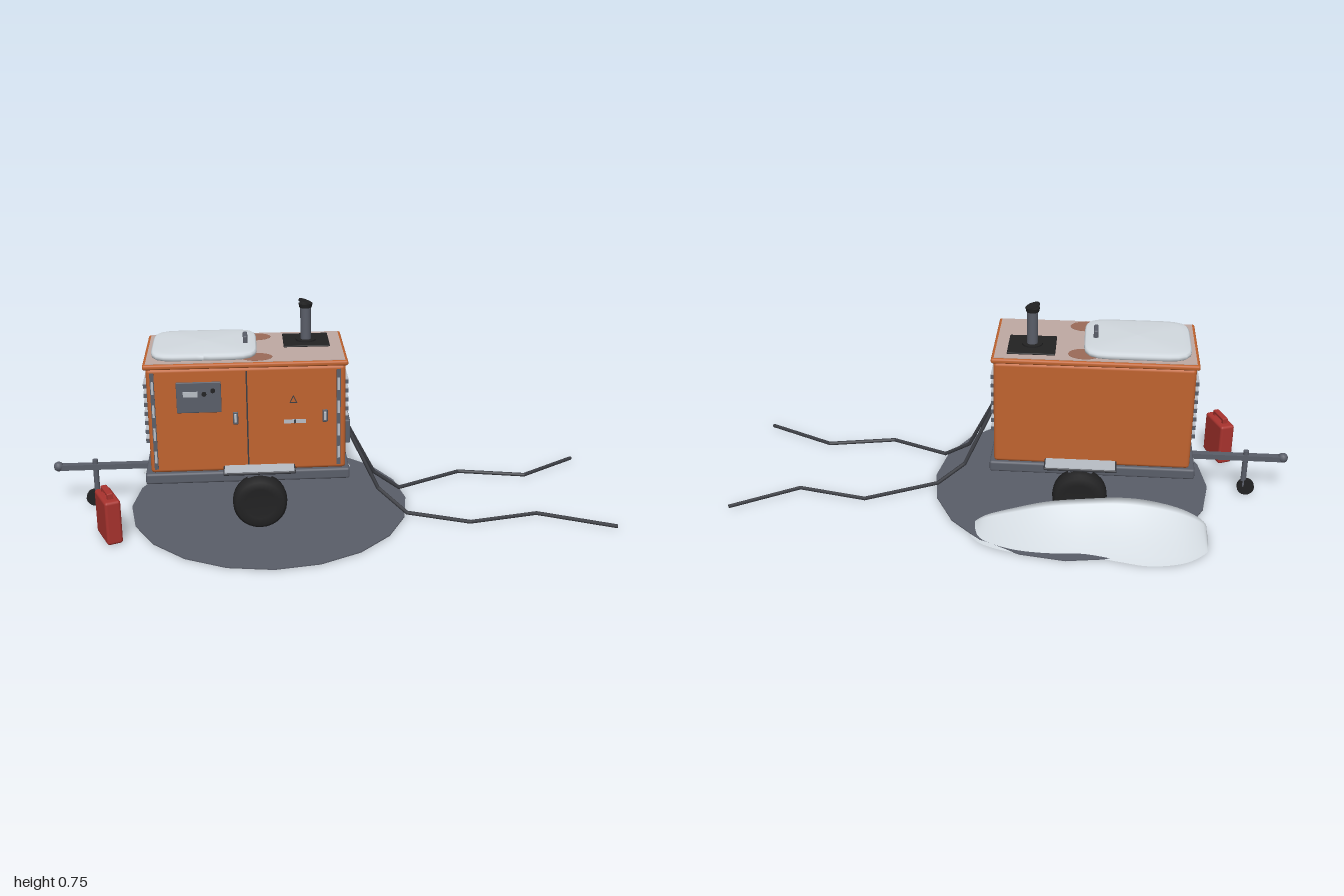
import * as THREE from 'three';
import { RoundedBoxGeometry } from 'three/addons/geometries/RoundedBoxGeometry.js';

const mat = (name, color, side = THREE.FrontSide) => {
  const m = new THREE.MeshStandardMaterial({ color, side });
  m.name = name;
  return m;
};

export function createModel() {
  const root = new THREE.Group();
  root.name = 'trailerGenerator';
  const M = {
    orange: mat('orangePaint', 0xc0632f),
    steel: mat('greySteel', 0x5a5e69),
    dark: mat('darkCable', 0x3b3d43),
    black: mat('blackRubber', 0x222223),
    red: mat('redPaint', 0xa9332e),
    snow: mat('snow', 0xd3dae0, THREE.DoubleSide),
    frost: mat('frost', 0xb9bec6),
    film: mat('frostedRoof', 0xbfa9a3),
    thaw: mat('thawedRoof', 0x9c6b58),
  };
  const add = (name, geo, m, x = 0, y = 0, z = 0, parent = root) => {
    const mesh = new THREE.Mesh(geo, m);
    mesh.name = name;
    mesh.position.set(x, y, z);
    parent.add(mesh);
    return mesh;
  };
  // Boxes given by their limits on each axis
  const box = (name, m, [x0, x1], [y0, y1], [z0, z1], r = 0, parent = root) => {
    const s = [x1 - x0, y1 - y0, z1 - z0];
    const geo = r ? new RoundedBoxGeometry(...s, 2, r) : new THREE.BoxGeometry(...s);
    return add(name, geo, m, (x0 + x1) / 2, (y0 + y1) / 2, (z0 + z1) / 2, parent);
  };
  const rod = (name, m, a, b, r, sides = 8) => {
    const d = b.clone().sub(a);
    const mesh = add(name, new THREE.CylinderGeometry(r, r, d.length(), sides), m);
    mesh.position.copy(a).addScaledVector(d, 0.5);
    mesh.quaternion.setFromUnitVectors(new THREE.Vector3(0, 1, 0), d.normalize());
  };
  const V = (x, y, z) => new THREE.Vector3(x, y, z);
  const ZC = -0.031; // centre line of the trailer

  // Ground patch
  add('groundDisc', new THREE.CylinderGeometry(0.505, 0.505, 0.004, 20), M.steel, -0.22, 0.002, 0);

  // Snow drift: each cross-section rises at the front and falls away to the back
  const ridge = new THREE.CatmullRomCurve3([
    V(-0.705, 0, -0.39), V(-0.695, 0.04, -0.42), V(-0.62, 0.09, -0.485), V(-0.5, 0.122, -0.512),
    V(-0.4, 0.129, -0.495), V(-0.28, 0.118, -0.47), V(-0.15, 0.1, -0.478), V(-0.03, 0.066, -0.468),
    V(0.07, 0.03, -0.43), V(0.11, 0, -0.39)]);
  const drift = new THREE.PlaneGeometry(1, 1, 40, 14);
  const dp = drift.attributes.position;
  for (let i = 0; i < dp.count; i++) {
    const c = ridge.getPoint(THREE.MathUtils.clamp(dp.getX(i) + 0.5, 0, 1));
    const v = THREE.MathUtils.clamp(dp.getY(i) + 0.5, 0, 1); // 0 at the front foot
    const w = Math.max(0, (v - 0.14) / 0.86);
    const rise = Math.min(1, v / 0.14);
    const h = c.y * Math.sin(rise * Math.PI / 2) * (0.75 * (1 - w) + 0.25 * (1 - w) ** 3);
    dp.setXYZ(i, c.x, Math.max(h, 0.001), THREE.MathUtils.lerp(-0.291 - 0.006 * rise, c.z, w));
  }
  drift.computeVertexNormals();
  add('snowDrift', drift, M.snow);

  // Chassis and housing
  box('chassis', M.steel, [-0.655, 0.062], [0.155, 0.195], [-0.205, 0.145], 0.008);
  box('housing', M.orange, [-0.635, 0.047], [0.195, 0.578], [-0.2, 0.137], 0.012);
  box('roofLid', M.orange, [-0.645, 0.055], [0.577, 0.595], [-0.206, 0.143], 0.007);
  box('roofFrost', M.film, [-0.635, 0.045], [0.592, 0.597], [-0.196, 0.133]);
  for (const s of [1, -1]) {
    const patch = add('thawedPatch', new THREE.CylinderGeometry(0.055, 0.055, 0.002, 16), M.thaw, -0.258, 0.597, ZC + s * 0.115);
    patch.scale.z = 0.75;
  }

  // Snow cap: a lathe squared off into a rounded rectangle
  const cap = new THREE.LatheGeometry([[0.97, 0], [1, 0.006], [1, 0.015], [0.97, 0.02], [0.85, 0.0225],
    [0.5, 0.026], [0, 0.028]].map(p => new THREE.Vector2(...p)), 48);
  const cp = cap.attributes.position;
  for (let i = 0; i < cp.count; i++) {
    const x = cp.getX(i), z = cp.getZ(i), a = Math.atan2(z, x);
    const k = (Math.cos(a) ** 6 + Math.sin(a) ** 6) ** (-1 / 6);
    cp.setX(i, x * k * 0.182);
    cp.setZ(i, z * k * 0.149);
  }
  cap.computeVertexNormals();
  add('roofSnow', cap, M.snow, -0.438, 0.597, -0.035);
  box('liftingEye', M.steel, [-0.303, -0.287], [0.615, 0.646], [-0.06, -0.002], 0.005);

  // Exhaust
  box('exhaustPlate', M.black, [-0.16, 0.004], [0.595, 0.602], [-0.165, -0.016], 0.003);
  add('exhaustFlange', new THREE.CylinderGeometry(0.036, 0.036, 0.006, 16), M.black, -0.078, 0.604, -0.086);
  add('exhaustPipe', new THREE.CylinderGeometry(0.019, 0.019, 0.13, 16), M.steel, -0.078, 0.665, -0.086);
  add('exhaustCollar', new THREE.CylinderGeometry(0.025, 0.022, 0.014, 16), M.black, -0.078, 0.73, -0.086);
  add('rainFlap', new THREE.CylinderGeometry(0.026, 0.026, 0.006, 16), M.black, -0.078, 0.742, -0.086).rotation.z = -0.35;

  // Vent slats with frosted tops at both ends
  for (const [x0, x1] of [[0.04, 0.06], [-0.65, -0.63]]) {
    for (let i = 0; i < 7; i++) {
      const y = 0.301 + i * 0.0337;
      box('ventSlat', M.steel, [x0, x1], [y - 0.008, y + 0.006], [-0.155, 0.093]);
      box('slatFrost', M.frost, [x0, x1], [y + 0.006, y + 0.009], [-0.153, 0.091]);
    }
  }

  // Front doors and fittings
  const Z = 0.137;
  box('doorSeam', M.dark, [-0.297, -0.292], [0.21, 0.565], [Z - 0.002, Z + 0.001]);
  for (const x of [-0.615, 0.022]) {
    box('sideStrip', M.steel, [x - 0.007, x + 0.007], [0.21, 0.565], [Z - 0.003, Z + 0.003]);
    for (let i = 0; i < 4; i++) {
      const y = 0.235 + i * 0.085;
      box('stripFrost', M.frost, [x - 0.004, x + 0.004], [y, y + 0.045], [Z, Z + 0.005]);
    }
  }
  for (const x of [-0.335, -0.025]) {
    box('doorLatch', M.steel, [x - 0.009, x + 0.009], [0.372, 0.418], [Z - 0.002, Z + 0.005], 0.003);
    box('latchHandle', M.frost, [x - 0.005, x + 0.004], [0.38, 0.412], [Z, Z + 0.011], 0.003);
  }
  box('controlPanel', M.steel, [-0.535, -0.382], [0.419, 0.53], [Z - 0.003, Z + 0.005], 0.003);
  box('panelDisplay', M.frost, [-0.512, -0.462], [0.478, 0.497], [Z, Z + 0.008]);
  for (const [x, y] of [[-0.44, 0.488], [-0.41, 0.5]]) {
    add('panelKnob', new THREE.CylinderGeometry(0.008, 0.008, 0.012, 10), M.black, x, y, Z + 0.006).rotation.x = Math.PI / 2;
  }
  box('infoPlate', M.frost, [-0.168, -0.092], [0.37, 0.384], [Z - 0.001, Z + 0.002]);
  box('infoPlateGap', M.dark, [-0.133, -0.126], [0.37, 0.384], [Z, Z + 0.003]);
  const tri = add('warningTriangle', new THREE.RingGeometry(0.013, 0.02, 3, 1, Math.PI / 2), M.dark, -0.135, 0.455, Z + 0.002);
  tri.scale.x = 0.8;

  // Terminal box and trailing cables
  box('terminalBox', M.steel, [0.04, 0.066], [0.276, 0.362], [-0.035, 0.107], 0.004);
  box('terminalLid', M.dark, [0.06, 0.068], [0.313, 0.318], [-0.033, 0.105]);
  const cables = [
    [[0.065, 0.305, 0.06], [0.17, 0.09, 0.094], [0.27, 0.012, 0.145], [0.485, 0.012, 0.235], [0.735, 0.012, 0.185], [0.995, 0.012, 0.31]],
    [[0.065, 0.305, 0.005], [0.17, 0.09, -0.052], [0.27, 0.012, -0.07], [0.52, 0.012, -0.198], [0.77, 0.012, -0.145], [0.995, 0.012, -0.29]],
  ];
  for (const path of cables) {
    const p = path.map(a => V(...a));
    for (let i = 1; i < p.length; i++) {
      rod('cable', M.dark, p[i - 1], p[i], 0.007);
      if (i < p.length - 1) add('cableBend', new THREE.SphereGeometry(0.007, 8, 6), M.dark, ...path[i]);
    }
  }

  // Wheels and fenders; lathe gives the tyre a rounded shoulder
  const tyre = [[0, -0.029], [0.05, -0.029], [0.055, -0.032], [0.083, -0.032], [0.094, -0.022], [0.096, 0],
    [0.094, 0.022], [0.083, 0.032], [0.055, 0.032], [0.05, 0.029], [0, 0.029]].map(p => new THREE.Vector2(...p));
  for (const s of [1, -1]) {
    const z = ZC + s * 0.21;
    add('wheel', new THREE.LatheGeometry(tyre, 28), M.black, -0.258, 0.097, z).rotation.x = Math.PI / 2;
    box('fender', M.dark, [-0.383, -0.132], [0.21, 0.22], [z - 0.034, z + 0.034], 0.004);
    box('fenderFrost', M.frost, [-0.378, -0.137], [0.217, 0.222], [z - 0.031, z + 0.031]);
    box('fenderBracket', M.steel, [-0.3, -0.216], [0.185, 0.212], [ZC + s * 0.19 - 0.02, ZC + s * 0.19 + 0.02]);
  }
  rod('axle', M.dark, V(-0.258, 0.097, ZC - 0.2), V(-0.258, 0.097, ZC + 0.2), 0.012);

  // Drawbar with coupling and jockey wheel
  box('drawbar', M.steel, [-0.985, -0.6], [0.146, 0.166], [ZC - 0.012, ZC + 0.012]);
  add('coupling', new THREE.SphereGeometry(0.018, 12, 8), M.steel, -0.982, 0.159, ZC);
  rod('jockeyPost', M.steel, V(-0.85, 0.035, ZC), V(-0.85, 0.182, ZC), 0.01, 10);
  add('jockeyWheel', new THREE.CylinderGeometry(0.031, 0.031, 0.018, 16), M.black, -0.86, 0.032, ZC).rotation.x = Math.PI / 2;

  // Fuel can
  const can = new THREE.Group();
  can.name = 'fuelCan';
  can.position.set(-0.78, 0, 0.235);
  can.rotation.y = 0.39;
  root.add(can);
  box('canBody', M.red, [-0.028, 0.028], [0.004, 0.165], [-0.066, 0.066], 0.01, can);
  box('canHandle', M.red, [-0.011, 0.011], [0.174, 0.186], [-0.04, 0.04], 0.004, can);
  for (const z of [-0.034, 0.034]) {
    box('handlePost', M.red, [-0.01, 0.01], [0.155, 0.182], [z - 0.006, z + 0.006], 0, can);
  }
  return root;
}
